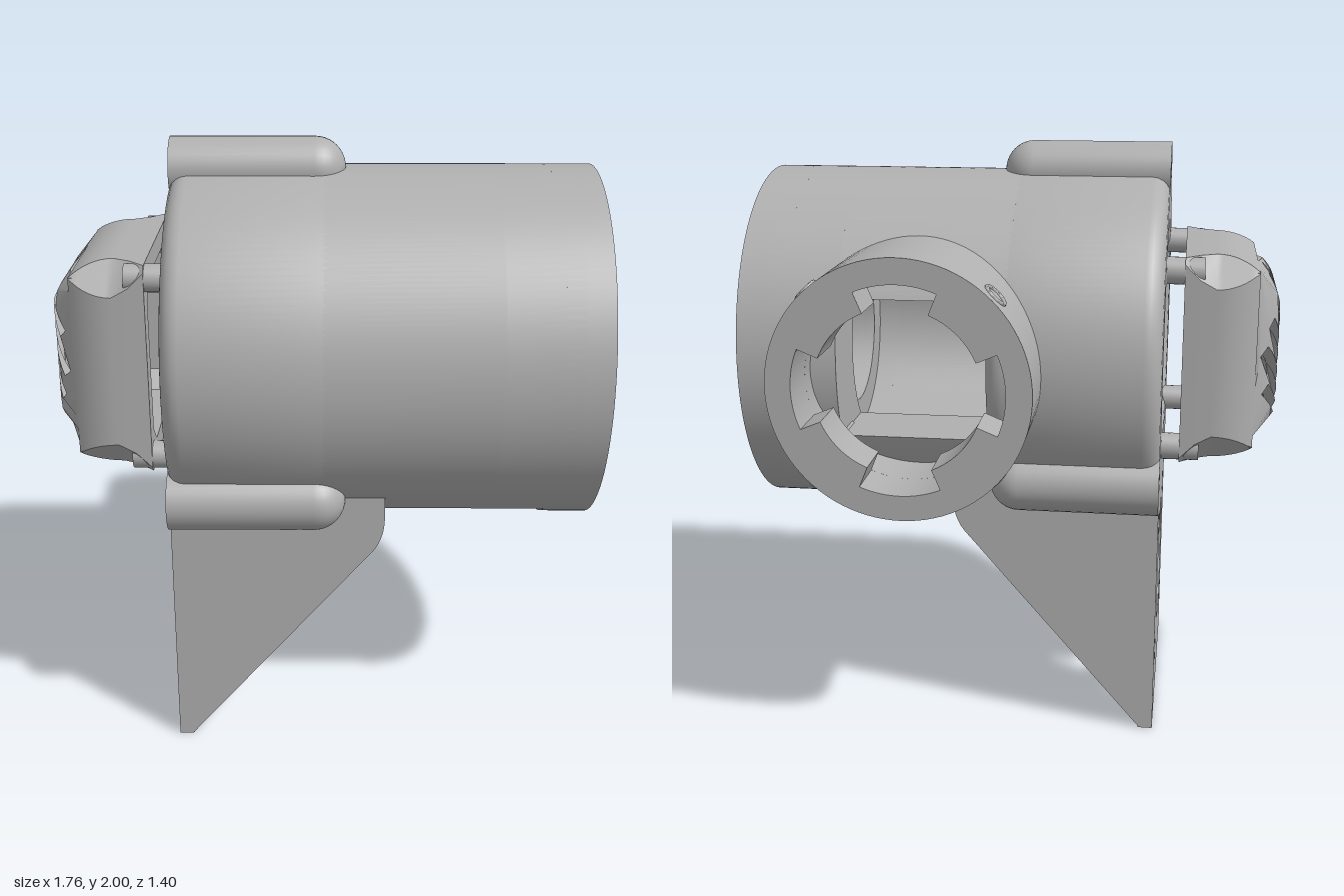
import * as THREE from 'three';
import { toCreasedNormals, mergeVertices } from 'three/addons/utils/BufferGeometryUtils.js';

const PI = Math.PI;
const CY = 1.3125, CZ = 0.113; // main axis, running along x
const grey = new THREE.MeshStandardMaterial({ color: 0xb0b0b0, side: THREE.DoubleSide });
grey.name = 'plain grey';

function add(parent, name, geo, x = 0, y = 0, z = 0, crease = 0.55) {
  const mesh = new THREE.Mesh(toCreasedNormals(geo, crease), grey);
  mesh.name = name;
  mesh.position.set(x, y, z);
  parent.add(mesh);
  return mesh;
}

// Extrude a (-z, y) outline along x
function extrudeX(shape, x0, x1, bevel = 0) {
  const geo = new THREE.ExtrudeGeometry(shape, {
    depth: x1 - x0 - 2 * bevel, curveSegments: 64, bevelEnabled: bevel > 0,
    bevelThickness: bevel, bevelSize: bevel, bevelOffset: -bevel, bevelSegments: 5,
  });
  return geo.translate(0, 0, x0 + bevel).rotateY(PI / 2);
}

// Lathe about the x axis from [radius, x] pairs
function latheX(pts, seg = 48) {
  return new THREE.LatheGeometry(pts.map(p => new THREE.Vector2(...p)), seg).rotateZ(-PI / 2);
}

const ring = (r0, r1, x0, x1, seg) => latheX([[r0, x0], [r1, x0], [r1, x1], [r0, x1], [r0, x0]], seg);
const circle = (x, y, r) => new THREE.Path().absarc(x, y, r, 0, PI * 2, true);

function slot(x, y, r, half) {
  const p = new THREE.Path();
  p.absarc(x, y + half, r, 0, PI, false);
  p.absarc(x, y - half, r, PI, PI * 2, false);
  p.closePath();
  return p;
}

// Join rings of points into a skin
function loft(rings) {
  const n = rings[0].length, idx = [];
  for (let i = 0; i < rings.length - 1; i++) for (let j = 0; j < n; j++) {
    const a = i * n + j, b = i * n + (j + 1) % n;
    idx.push(a, a + n, b, b, a + n, b + n);
  }
  const geo = new THREE.BufferGeometry();
  geo.setAttribute('position', new THREE.Float32BufferAttribute(rings.flat(2), 3));
  geo.setIndex(idx);
  geo.computeVertexNormals();
  return geo;
}

function buildHousing(g) {
  const R = 0.5875, B = 0.36, b = Math.asin(0.4825 / R);
  const screws = [[0, 0.4325], [-0.352, -0.3675], [0.352, -0.3675]];
  const flatRound = () => {
    const s = new THREE.Shape().absarc(0, 0, R, -b, PI + b, false);
    s.holes.push(circle(0, 0, B));
    return s;
  };
  add(g, 'housingRear', extrudeX(flatRound(), -0.5, 0.07, 0.06));
  // middle is open behind the side port
  const a1 = Math.asin(0.23 / R), a2 = Math.asin(0.23 / B);
  const open = new THREE.Shape();
  open.absarc(0, 0, R, a1, PI + b, false);
  open.absarc(0, 0, R, 2 * PI - b, 2 * PI - a1, false);
  open.absarc(0, 0, B, 2 * PI - a2, a2, true);
  add(g, 'housingMiddle', extrudeX(open, 0, 0.55));
  const front = flatRound();
  screws.forEach(([x, y]) => front.holes.push(circle(x, y, 0.035)));
  add(g, 'housingFront', extrudeX(front, 0.55, 0.79));
  const flange = new THREE.Shape().absarc(0, 0, R, 0, PI * 2, false);
  flange.holes.push(circle(0, 0, 0.3375));
  screws.forEach(([x, y]) => flange.holes.push(circle(x, y, 0.06)));
  add(g, 'frontFlange', extrudeX(flange, 0.73, 0.88));

  // rounded screw bosses with a hole in the rear end
  const prof = [[0, -0.35], [0.04, -0.35], [0.04, -0.5], [0.1, -0.5]];
  for (let i = 0; i <= 10; i++) {
    const a = i / 10 * PI / 2;
    prof.push([0.1 * Math.cos(a), -0.03 + 0.1 * Math.sin(a)]);
  }
  [[0.5875, 0], [-0.4025, 0.432], [-0.4025, -0.432]].forEach(([y, z]) =>
    add(g, 'screwBoss', latheX(prof, 32), 0, y, z));
}

function buildBearing(g) {
  add(g, 'bearingCarrier', ring(0.26, 0.37, 0.62, 0.69));
  add(g, 'innerRace', ring(0.26, 0.28, 0.66, 0.73));
  add(g, 'outerRace', ring(0.322, 0.342, 0.66, 0.73));
  for (let i = 0; i < 12; i++) {
    const a = i / 12 * PI * 2;
    add(g, 'bearingBall', new THREE.SphereGeometry(0.036, 16, 12), 0.72, 0.3 * Math.cos(a), 0.3 * Math.sin(a), 1);
  }
  add(g, 'bearingKey', new THREE.BoxGeometry(0.08, 0.05, 0.05), 0.74, -0.305, -0.02);
  add(g, 'drivenDrum', ring(0.26, 0.32, -0.45, -0.08));
}

function buildPort(g) {
  const outer = (hole) => {
    const s = new THREE.Shape().absarc(0, 0, 0.4175, 0, PI * 2, false);
    s.holes.push(hole);
    return s;
  };
  const make = (name, hole, z0, z1) => add(g, name, new THREE.ExtrudeGeometry(outer(hole),
    { depth: z1 - z0, curveSegments: 48, bevelEnabled: false }), 0.3, 0, z0);
  // mouth with four inward tabs
  const tabs = new THREE.Path();
  for (let i = 0; i < 4; i++) {
    const a = i * PI / 2, w = PI / 8;
    tabs.absarc(0, 0, 0.335, a - w, a + w, false);
    tabs.absarc(0, 0, 0.265, a + w, a + PI / 2 - w, false);
  }
  tabs.closePath();
  make('portMouth', tabs, -0.813, -0.65);
  make('portTube', circle(0, 0, 0.335), -0.65, -0.40);
  for (let i = 0; i < 4; i++) {
    const a = PI / 4 + i * PI / 2;
    const rim = new THREE.TorusGeometry(0.036, 0.008, 8, 24).rotateY(PI / 2).rotateZ(a);
    add(g, 'portScrewRim', rim, 0.3 + 0.417 * Math.cos(a), 0.417 * Math.sin(a), -0.733, 1);
  }
}

function buildCap(g) {
  const fillet = h => h < 0.13 ? 0 : 0.22 - Math.sqrt(Math.max(0, 0.0484 - (h - 0.13) ** 2));
  const section = (x, h, c) => [[h, h - c], [h - c, h], [c - h, h], [-h, h - c],
    [-h, c - h], [c - h, -h], [h - c, -h], [h, c - h]].map(([y, z]) => [x, y, z]);
  // square shell with a rounded outer edge and scooped corners
  const rings = [];
  for (let i = 0; i <= 8; i++) {
    const a = Math.asin(0.17 / 0.22) + (PI / 2 - Math.asin(0.17 / 0.22)) * i / 8;
    const h = 0.13 + 0.22 * Math.sin(a);
    rings.push(section(-0.665 - 0.22 * Math.cos(a), h, Math.max(0.004, 2 * h - 0.6)));
  }
  rings.push(section(-0.61, 0.35, 0.07), section(-0.56, 0.35, 0.02),
    section(-0.56, 0.28, 0.06), section(-0.79, 0.28, 0.06));
  add(g, 'capShell', loft(rings), 0, 0, 0, 0.4);

  // slotted end, bent to follow the rounded edge
  const face = new THREE.Shape(), H = 0.3, N = 14;
  for (let s = 0; s < 4; s++) for (let i = 0; i < N; i++) {
    const t = -H + 2 * H * i / N;
    const [x, y] = [[t, -H], [H, t], [-t, H], [-H, -t]][s];
    if (s + i === 0) face.moveTo(x, y); else face.lineTo(x, y);
  }
  face.closePath();
  for (let k = -3; k <= 3; k++) {
    const v = k * 0.086, L = Math.sqrt(0.29 ** 2 - v * v) - 0.02, pts = [];
    for (const side of [-1, 1]) for (let i = 0; i <= N; i++) {
      const u = side * (L - 2 * L * i / N), w = v + side * 0.021;
      pts.push(new THREE.Vector2((u - w) * Math.SQRT1_2, (u + w) * Math.SQRT1_2));
    }
    face.holes.push(new THREE.Path(pts));
  }
  const geo = extrudeX(face, -0.885, -0.85);
  const p = geo.attributes.position;
  for (let i = 0; i < p.count; i++)
    p.setX(i, p.getX(i) + fillet(Math.max(Math.abs(p.getY(i)), Math.abs(p.getZ(i)))));
  geo.computeVertexNormals();
  add(g, 'slottedGrille', geo);

  for (const y of [-1, 1]) for (const z of [-1, 1])
    add(g, 'capPost', new THREE.CylinderGeometry(0.045, 0.045, 0.14, 24).rotateZ(PI / 2), -0.555, y * 0.302, z * 0.302);
}

function buildBracket(g) {
  // upright end plate with a large window and adjusting slots
  const plate = new THREE.Shape();
  plate.moveTo(-0.43, -CY).lineTo(0.43, -CY).lineTo(0.43, -0.41).lineTo(-0.43, -0.41).closePath();
  plate.holes.push(slot(0, -0.8375, 0.195, 0.03));
  for (const s of [-1, 1]) for (const y of [0.21, 0.7]) plate.holes.push(slot(s * 0.26, y - CY, 0.026, 0.032));
  add(g, 'bracketPlate', extrudeX(plate, -0.5, -0.45));
  // triangular side webs
  const web = new THREE.Shape();
  web.moveTo(-0.5, -CY).lineTo(-0.455, -CY).lineTo(0.155, 0.71 - CY);
  web.quadraticCurveTo(0.2, 0.76 - CY, 0.2, 0.84 - CY);
  web.lineTo(0.2, 0.915 - CY).lineTo(-0.5, 0.915 - CY).closePath();
  for (const z of [-0.432, 0.367])
    add(g, 'bracketWeb', new THREE.ExtrudeGeometry(web, { depth: 0.065, bevelEnabled: false }), 0, 0, z);
}

function buildDrive(g) {
  const py = 0.44 - CY;
  // toothed pulley with flanges and hub
  add(g, 'pulley', latheX([[0.045, -0.44], [0.115, -0.44], [0.115, -0.31], [0.132, -0.31], [0.132, -0.295],
    [0.1, -0.295], [0.1, -0.14], [0.132, -0.14], [0.132, -0.125], [0.045, -0.125], [0.045, -0.44]]), 0, py, 0);
  for (let i = 0; i < 20; i++) {
    const a = i / 20 * PI * 2;
    add(g, 'pulleyTooth', new THREE.BoxGeometry(0.16, 0.014, 0.016).rotateX(a),
      -0.218, py + 0.104 * Math.cos(a), 0.104 * Math.sin(a));
  }
  // belt around the pulley and drum
  const loop = (Type, r, R) => {
    const a = Math.asin((R - r) / -py), s = new Type();
    s.absarc(0, 0, R, -a, PI + a, false);
    s.absarc(0, py, r, PI + a, 2 * PI - a, false);
    s.closePath();
    return s;
  };
  const belt = loop(THREE.Shape, 0.119, 0.332);
  belt.holes.push(loop(THREE.Path, 0.109, 0.322));
  add(g, 'belt', extrudeX(belt, -0.285, -0.15));
  // idler rollers beside the belt
  for (const s of [-1, 1])
    add(g, 'idlerRoller', latheX([[0.03, -0.46], [0.05, -0.46], [0.05, -0.3], [0.075, -0.3], [0.075, -0.285], [0.06, -0.285],
      [0.06, -0.15], [0.075, -0.15], [0.075, -0.135], [0.03, -0.135], [0.03, -0.46]], 32), 0, 0.7 - CY, s * 0.26);
}

export function createModel() {
  const model = new THREE.Group();
  model.name = 'beltDrivenHousing';
  const builders = { housing: buildHousing, bearing: buildBearing, sidePort: buildPort,
    rearCap: buildCap, bracket: buildBracket, beltDrive: buildDrive };
  for (const [name, build] of Object.entries(builders)) {
    const g = new THREE.Group();
    g.name = name;
    g.position.set(0, CY, CZ);
    build(g);
    model.add(g);
  }
  return model;
}
